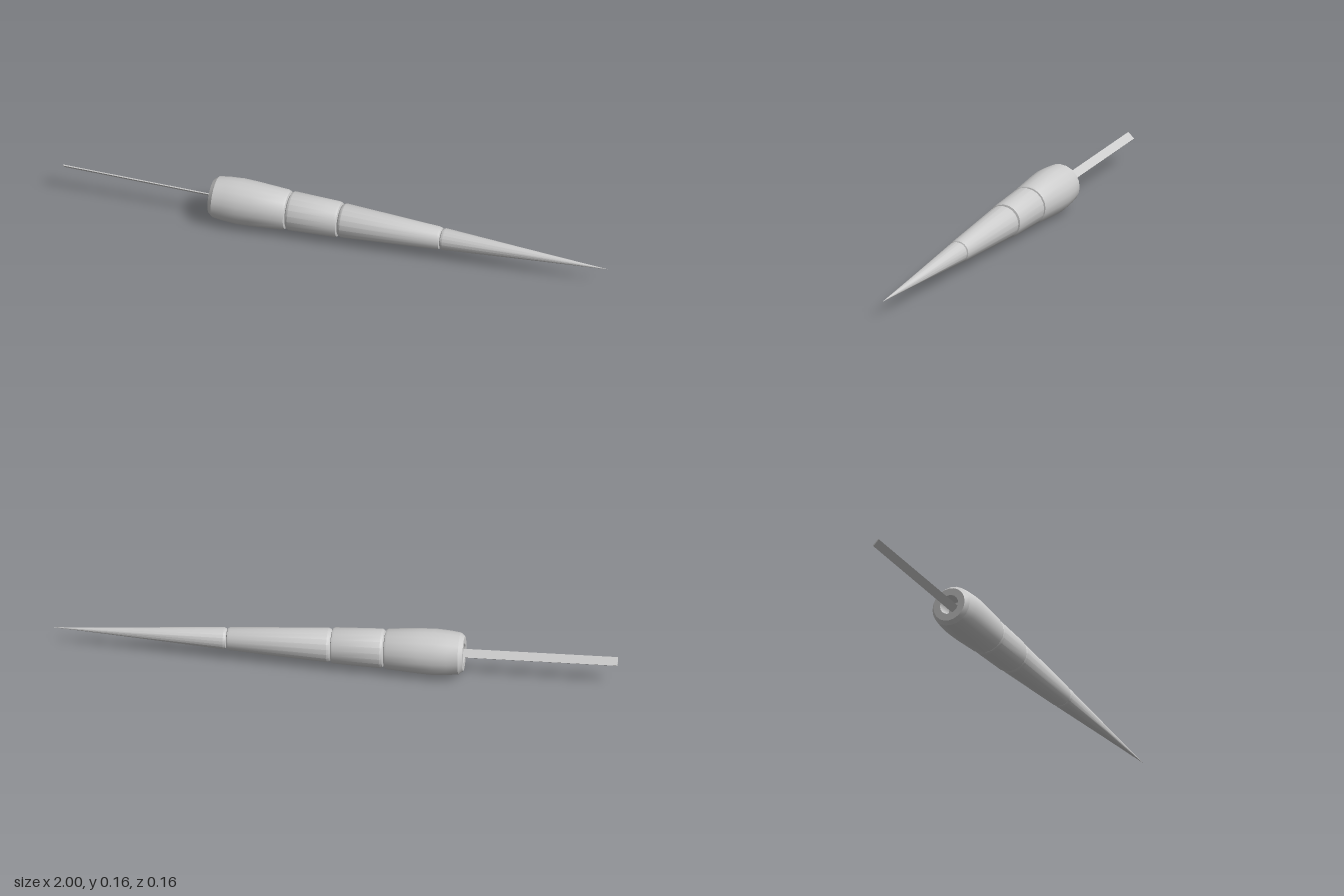
import * as THREE from 'three';
import { toCreasedNormals } from 'three/addons/utils/BufferGeometryUtils.js';

const material = new THREE.MeshStandardMaterial({ color: 0xcccccc });

// Turned section along x from [x, radius] pairs
function turned(name, profile) {
  const points = profile.map(([x, r]) => new THREE.Vector2(r, x));
  const geometry = new THREE.LatheGeometry(points, 20).rotateZ(-Math.PI / 2);
  const mesh = new THREE.Mesh(toCreasedNormals(geometry, 0.5), material);
  mesh.name = name;
  return mesh;
}

export function createModel() {
  const model = new THREE.Group();
  model.name = 'taperedSpike';

  // Turned body, leaning slightly off the x axis
  const body = new THREE.Group();
  body.name = 'body';
  body.position.set(0, 0.08, -0.003);
  body.rotation.set(0, 0.008, -0.012);
  body.add(
    // Rear sleeve with a recessed socket
    turned('sleeve', [
      [-0.39, 0], [-0.39, 0.036], [-0.455, 0.036], [-0.455, 0.062], [-0.44, 0.074],
      [-0.4, 0.079], [-0.35, 0.082], [-0.3, 0.08], [-0.185, 0.072], [-0.177, 0.068], [-0.174, 0.058],
    ]),
    turned('collar', [
      [-0.174, 0.058], [-0.17, 0.066], [-0.162, 0.07], [0.004, 0.064], [0.012, 0.061], [0.015, 0.052],
    ]),
    turned('shaft', [
      [0.015, 0.052], [0.019, 0.057], [0.028, 0.061], [0.375, 0.041], [0.383, 0.038], [0.386, 0.032],
    ]),
    turned('point', [
      [0.386, 0.032], [0.389, 0.036], [0.397, 0.039], [0.7, 0.019], [1, 0],
    ]),
  );
  model.add(body);

  // Flat tang, turned 45 degrees about its length
  const start = new THREE.Vector3(-1, 0.102, 0.003);
  const end = new THREE.Vector3(-0.38, 0.086, -0.001);
  const direction = end.clone().sub(start);
  const geometry = new THREE.BoxGeometry(direction.length(), 0.031, 0.004).rotateX(Math.PI / 4);
  const tang = new THREE.Mesh(geometry, material);
  tang.name = 'tang';
  tang.position.addVectors(start, end).multiplyScalar(0.5);
  tang.quaternion.setFromUnitVectors(new THREE.Vector3(1, 0, 0), direction.normalize());
  model.add(tang);

  return model;
}
